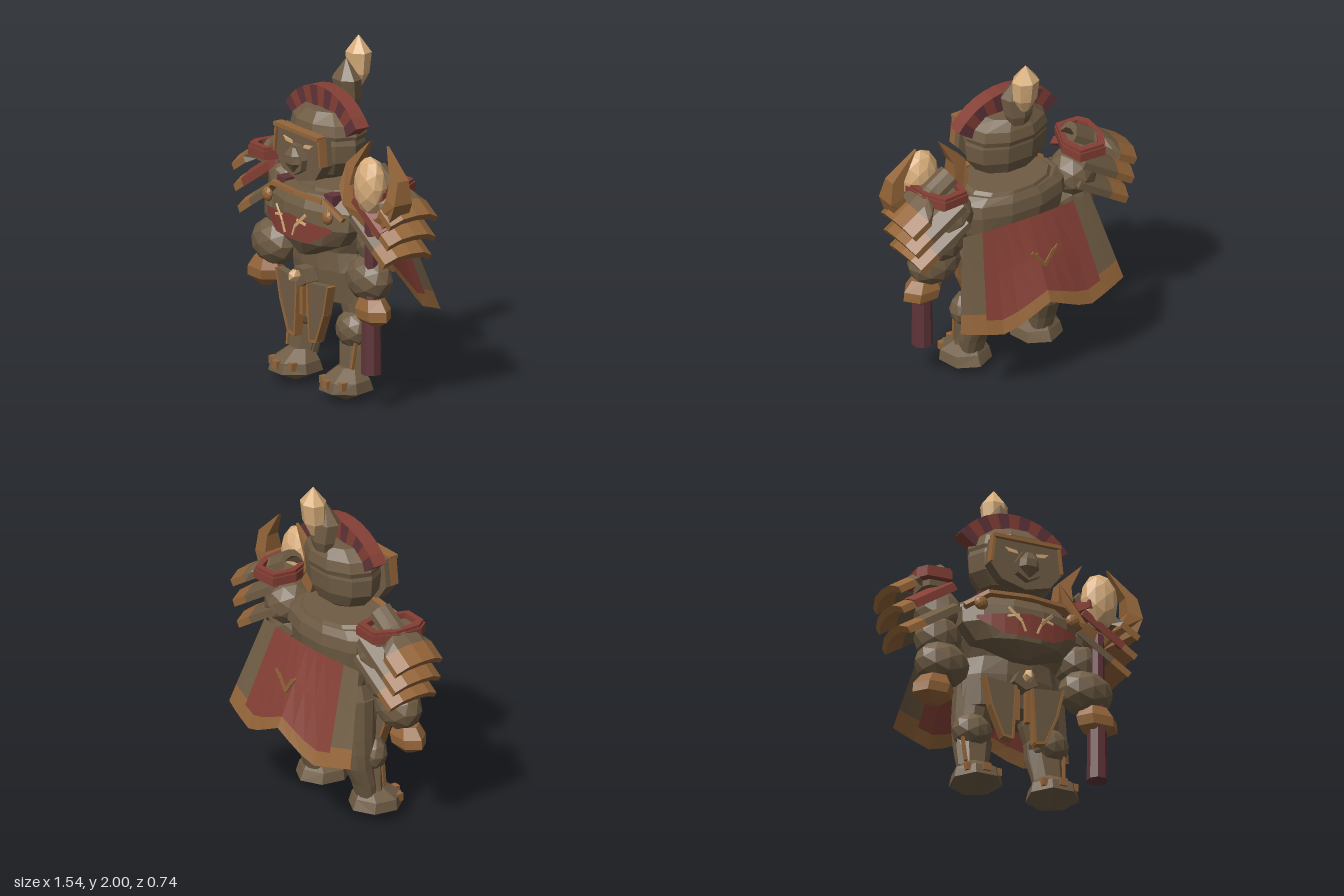
import * as THREE from 'three';

const mat = (name, color) => Object.assign(new THREE.MeshStandardMaterial({ color, flatShading: true, side: THREE.DoubleSide }), { name });

export function createModel() {
  const model = new THREE.Group();
  const brown = mat('brown', 0x6f5c44), red = mat('red', 0x843f35), maroon = mat('maroon', 0x603439);
  const bronze = mat('bronze', 0x946539), tan = mat('tan', 0xd6ac7a);

  // Adds a part; "both" also adds its mirrored twin with corrected winding
  function add(name, geo, material, both = false) {
    const g = geo.index ? geo.toNonIndexed() : geo;
    g.computeVertexNormals();
    const mesh = new THREE.Mesh(g, material);
    mesh.name = name;
    model.add(mesh);
    if (!both) return;
    const m = g.clone(), p = m.attributes.position;
    m.scale(-1, 1, 1);
    const a = new THREE.Vector3(), b = new THREE.Vector3();
    for (let i = 0; i < p.count; i += 3) {
      a.fromBufferAttribute(p, i + 1);
      b.fromBufferAttribute(p, i + 2);
      p.setXYZ(i + 1, b.x, b.y, b.z);
      p.setXYZ(i + 2, a.x, a.y, a.z);
    }
    add(name + 'Right', m, material);
  }

  const rock = (x, y, z, rx, ry, rz, detail = 1) =>
    new THREE.IcosahedronGeometry(1, detail).scale(rx, ry, rz).translate(x, y, z);
  const box = (x, y, z, w, h, d) => new THREE.BoxGeometry(w, h, d).translate(x, y, z);

  // Bar between two points
  function bar(a, b, w, d) {
    const p = new THREE.Vector3(...a), v = new THREE.Vector3(...b).sub(p);
    const g = new THREE.BoxGeometry(w, v.length(), d);
    g.applyQuaternion(new THREE.Quaternion().setFromUnitVectors(new THREE.Vector3(0, 1, 0), v.clone().normalize()));
    return g.translate(p.x + v.x / 2, p.y + v.y / 2, p.z + v.z / 2);
  }

  // Closed solid through elliptical rings [y, rx, rz, cx, cz], listed upward
  function loft(rings, n = 10) {
    const pos = [], idx = [], top = rings.length * n;
    for (const [y, rx, rz, cx, cz] of rings)
      for (let i = 0; i < n; i++) {
        const a = (i + 0.5) / n * Math.PI * 2;
        pos.push(cx + rx * Math.sin(a), y, cz + rz * Math.cos(a));
      }
    for (const r of [rings[0], rings[rings.length - 1]]) pos.push(r[3], r[0], r[4]);
    for (let i = 0; i < n; i++) {
      const j = (i + 1) % n, e = top - n;
      for (let k = 0; k < e; k += n) idx.push(k + i, k + j, k + n + j, k + i, k + n + j, k + n + i);
      idx.push(top, j, i, top + 1, e + i, e + j);
    }
    const g = new THREE.BufferGeometry();
    g.setAttribute('position', new THREE.Float32BufferAttribute(pos, 3));
    g.setIndex(idx);
    return g;
  }

  // Sheet over a patch of a surface f(u, v) -> [x, y, z]
  function sheet(f, u0, u1, v0, v1, nu, nv) {
    const g = new THREE.PlaneGeometry(1, 1, nu, nv), p = g.attributes.position;
    for (let i = 0; i < p.count; i++)
      p.setXYZ(i, ...f(u0 + (u1 - u0) * (p.getX(i) + 0.5), v0 + (v1 - v0) * (p.getY(i) + 0.5)));
    return g;
  }

  // Flat outline, with an optional hole, given thickness along z
  const points = pts => pts.map(p => new THREE.Vector2(...p));
  function slab(pts, z, depth, steps = 1, hole = null) {
    const shape = new THREE.Shape(points(pts));
    if (hole) shape.holes.push(new THREE.Path(points(hole)));
    return new THREE.ExtrudeGeometry(shape, { depth, steps, bevelEnabled: false }).translate(0, 0, z);
  }

  // Plume
  add('plumeTip', loft([[1.71, 0.025, 0.02, 0, -0.115], [1.79, 0.072, 0.06, 0, -0.115], [1.91, 0.08, 0.072, 0, -0.12], [2, 0.004, 0.004, 0, -0.12]], 7), tan);
  add('plumeBase', loft([[1.6, 0.06, 0.045, 0, -0.05], [1.66, 0.085, 0.065, 0, -0.05], [1.77, 0.1, 0.075, 0, -0.035], [1.88, 0.005, 0.005, 0, -0.035]], 7), brown);

  // Crest: an arch with alternating faces and a red rim
  const polar = (r, a) => [r * Math.sin(a), 1.345 + r * Math.cos(a)];
  const steps = 11, span = 0.95;
  for (let i = 0; i < steps; i++) {
    const a = -span + 2 * span * i / steps, b = a + 2 * span / steps;
    add('crestSegment', slab([polar(0.29, a), polar(0.29, b), polar(0.405, b), polar(0.405, a)], 0.05, 0.09), [i % 2 ? red : maroon, red]);
  }

  // Head, helmet and mask
  add('head', loft([[1.23, 0.06, 0.06, 0, 0.09], [1.28, 0.19, 0.13, 0, 0.09], [1.36, 0.25, 0.165, 0, 0.09], [1.46, 0.26, 0.175, 0, 0.09], [1.53, 0.24, 0.165, 0, 0.09]], 10), brown);
  add('helmet', loft([[1.48, 0.25, 0.175, 0, 0.085], [1.51, 0.26, 0.185, 0, 0.085], [1.57, 0.24, 0.175, 0, 0.085], [1.63, 0.16, 0.135, 0, 0.075]], 10), brown);
  add('mask', slab([[-0.2, 1.52], [-0.22, 1.36], [-0.15, 1.27], [0, 1.23], [0.15, 1.27], [0.22, 1.36], [0.2, 1.52]], 0.22, 0.07), brown);
  add('browBar', box(0, 1.52, 0.285, 0.41, 0.022, 0.06), bronze);
  add('cheekBar', bar([0.197, 1.52, 0.28], [0.215, 1.36, 0.28], 0.016, 0.05), bronze, true);
  add('snout', slab([[-0.035, 1.445], [-0.08, 1.37], [-0.07, 1.31], [0, 1.27], [0.07, 1.31], [0.08, 1.37], [0.035, 1.445]], 0.28, 0.05), brown);
  add('nose', loft([[1.29, 0.01, 0.01, 0, 0.325], [1.345, 0.065, 0.045, 0, 0.325], [1.39, 0.06, 0.045, 0, 0.325], [1.435, 0.025, 0.02, 0, 0.325]], 6), brown);
  add('eye', slab([[0.05, 1.435], [0.11, 1.44], [0.135, 1.465], [0.06, 1.455]], 0.291, 0.008), tan, true);

  // Torso and collar
  add('torso', loft([[0.55, 0.3, 0.16, 0, 0.04], [0.73, 0.31, 0.17, 0, 0.05], [0.84, 0.28, 0.17, 0, 0.05], [0.95, 0.34, 0.18, 0, 0.06], [1.09, 0.36, 0.2, 0, 0.06], [1.2, 0.25, 0.17, 0, 0.06]], 12), brown);
  add('collar', loft([[1.07, 0.38, 0.21, 0, 0.06], [1.14, 0.37, 0.2, 0, 0.06], [1.18, 0.3, 0.18, 0, 0.06]], 12), brown);
  add('collarClasp', box(0.22, 1.165, 0.2, 0.08, 0.06, 0.1), maroon, true);

  // Chest plate
  add('chestPlate', loft([[0.81, 0.06, 0.08, 0, 0.2], [0.9, 0.28, 0.16, 0, 0.17], [1, 0.36, 0.18, 0, 0.16], [1.1, 0.36, 0.18, 0, 0.15], [1.18, 0.25, 0.14, 0, 0.15]], 12), brown);
  const band = (u, v) => {
    const a = Math.abs(u), low = 0.915 + Math.max(0, a - 0.15) * 0.55, high = 1.055 - 0.12 * a;
    return [u, low + (high - low) * v, 0.352 - 0.75 * u * u];
  };
  add('chestBand', sheet(band, -0.3, 0.3, 0, 1, 8, 1), red);
  add('chestTopTrim', bar([0, 1.17, 0.315], [0.23, 1.165, 0.29], 0.022, 0.04), bronze, true);
  add('chestSideTrim', bar([0.22, 1.17, 0.285], [0.355, 1.08, 0.245], 0.025, 0.04), bronze, true);
  add('chestKnob', rock(0.28, 1.09, 0.3, 0.042, 0.042, 0.025), bronze, true);
  add('tassel', bar([0.135, 1.075, 0.345], [0.06, 1.0, 0.36], 0.018, 0.008), tan, true);
  add('tasselTie', bar([0.07, 1.035, 0.355], [0.14, 1.02, 0.345], 0.014, 0.008), tan, true);
  add('tasselTail', bar([0.06, 1.0, 0.36], [0.035, 0.94, 0.36], 0.012, 0.008), tan, true);

  // Loincloth
  const cloth = [[0.05, 0.65], [0.24, 0.67], [0.2, 0.5], [0.13, 0.33], [0.07, 0.32]];
  add('loinPanel', slab(cloth, 0.22, 0.045), brown, true);
  for (let i = 1; i < 5; i++) add('loinTrim', bar([...cloth[i], 0.245], [...cloth[(i + 1) % 5], 0.245], 0.014, 0.054), bronze, true);
  add('loinStrip', box(0.032, 0.56, 0.235, 0.028, 0.23, 0.035), bronze, true);
  add('beltBoss', slab([[-0.04, 0.73], [-0.075, 0.66], [0, 0.62], [0.075, 0.66], [0.04, 0.73]], 0.21, 0.08), brown);
  add('beltGem', rock(0, 0.69, 0.32, 0.03, 0.04, 0.045, 0), tan);

  // Legs and feet
  add('leg', loft([[0.14, 0.075, 0.055, 0.23, 0.07], [0.22, 0.085, 0.065, 0.23, 0.055], [0.33, 0.095, 0.085, 0.22, 0.025], [0.43, 0.1, 0.095, 0.22, 0.02], [0.52, 0.115, 0.105, 0.205, 0.02], [0.75, 0.13, 0.12, 0.18, 0.03]], 12), brown, true);
  add('shinGuard', loft([[0.18, 0.09, 0.06, 0.235, 0.1], [0.36, 0.11, 0.05, 0.22, 0.09]], 6), brown, true);
  add('shinTrim', bar([0.3, 0.19, 0.145], [0.31, 0.34, 0.125], 0.015, 0.02), bronze, true);
  add('knee', rock(0.235, 0.4, 0.09, 0.12, 0.11, 0.09), brown, true);
  add('foot', loft([[0.005, 0.02, 0.02, 0.235, 0.135], [0.065, 0.15, 0.16, 0.235, 0.135], [0.125, 0.14, 0.14, 0.235, 0.14], [0.19, 0.07, 0.07, 0.23, 0.11]], 7), brown, true);
  for (const x of [0.15, 0.235, 0.32]) add('toeClaw', box(x, 0.11, 0.268 - Math.abs(x - 0.235) * 0.5, 0.045, 0.045, 0.04), bronze, true);

  // Arms
  add('shoulder', rock(0.41, 1.1, 0.03, 0.14, 0.14, 0.14), brown, true);
  add('upperArm', rock(0.43, 0.94, 0.06, 0.14, 0.14, 0.12), brown, true);
  add('forearm', rock(0.44, 0.75, 0.13, 0.165, 0.135, 0.115), brown, true);
  add('hand', loft([[0.49, 0.04, 0.03, 0.5, 0.15], [0.54, 0.12, 0.085, 0.51, 0.15], [0.595, 0.125, 0.09, 0.5, 0.15], [0.655, 0.085, 0.065, 0.49, 0.15]], 6), bronze, true);

  // Pauldrons: three arched plates sloping outward; the top one narrows to pass through a ring
  const arch = [[-0.16, -0.05], [-0.09, -0.01], [0, 0], [0.09, -0.01], [0.16, -0.05], [0.16, -0.09], [0.09, -0.05], [0, -0.04], [-0.09, -0.05], [-0.16, -0.09]];
  const frontEdge = [[-0.165, -0.093], [-0.165, -0.046], [-0.09, -0.004], [-0.09, -0.055]];
  const slope = (outline, x, y, from, length) => slab(outline, from, length, 6).rotateY(Math.PI / 2).rotateZ(-0.57).translate(x, y, 0.045);
  [[0.43, 1.395, 0.28], [0.43, 1.265, 0.26], [0.4, 1.145, 0.25]].forEach(([x, y, length], k) => {
    const inner = slope(arch, x, y, 0, length), p = inner.attributes.position;
    if (k === 0)
      for (let i = 0; i < p.count; i++)
        p.setZ(i, 0.045 + (p.getZ(i) - 0.045) * THREE.MathUtils.mapLinear(THREE.MathUtils.clamp(p.getX(i), 0.54, 0.62), 0.54, 0.62, 0.42, 1));
    add('pauldronPlate', inner, brown, true);
    if (k === 1) add('pauldronRedFront', slope(frontEdge, x, y, 0, length + 0.03), red, true);
    add('pauldronEdge', slope(arch, x, y, length, 0.125), bronze, true);
  });
  const ringEdge = [[0.37, 0.11], [0.53, 0.12], [0.6, 0], [0.61, -0.16], [0.57, -0.22], [0.42, -0.225], [0.34, -0.03]];
  const inset = (kx, ky) => ringEdge.map(([x, y]) => [0.475 + (x - 0.475) * kx, -0.055 + (y + 0.055) * ky]);
  add('pauldronRing', slab(ringEdge, 1.235, 0.05, 1, inset(0.66, 0.74)).rotateX(-Math.PI / 2), red, true);
  add('pauldronRingTop', slab(inset(0.93, 0.95), 1.285, 0.018, 1, inset(0.66, 0.74)).rotateX(-Math.PI / 2), red, true);
  add('pauldronCap', slab(inset(0.66, 0.74), 1.2, 0.07).rotateX(-Math.PI / 2), brown, true);

  // Staff with horned head
  add('staff', loft([[0.22, 0.06, 0.06, 0.5, 0.16], [0.6, 0.055, 0.055, 0.5, 0.16], [0.7, 0.04, 0.04, 0.5, 0.16], [1.1, 0.04, 0.04, 0.5, 0.16]], 8), maroon);
  for (const s of [-1, 1]) {
    const pts = [[0, 1.0], [0.22, 1.15], [0.258, 1.25], [0.24, 1.38], [0.075, 1.54], [0.165, 1.37], [0.17, 1.27], [0.09, 1.14], [0, 1.11]];
    const horn = slab(pts.map(([x, y]) => [0.505 + s * x, y]), -0.07, 0.14), p = horn.attributes.position;
    for (let i = 0; i < p.count; i++) // depth narrows to the tip and to the base
      p.setZ(i, 0.14 + p.getZ(i) * (p.getY(i) > 1.2 ? Math.max(0.1, 1 - (p.getY(i) - 1.2) * 2.6) : 0.5 + (p.getY(i) - 1) * 2.5) - Math.max(0, p.getY(i) - 1.2) * 0.1);
    add('staffHorn', horn, bronze);
  }
  add('staffOrb', rock(0.505, 1.305, 0.17, 0.11, 0.17, 0.085), tan);

  // Cape: u runs across, v runs from the top edge to the hem
  const cape = (u, v) => {
    const a = Math.abs(u), hem = a < 0.5 ? 0.59 - 0.26 * a : 0.46 + 0.12 * (a - 0.5);
    return [u * (0.42 + 0.12 * v), 1.03 + (hem - 1.03) * v, -0.16 - 0.21 * v + (0.03 + 0.055 * v) * u * u];
  };
  add('capeCentre', sheet(cape, -0.72, 0.72, 0.86, 0, 8, 2), red);
  add('capeSide', sheet(cape, 0.72, 1, 0.8, 0, 2, 2), brown, true);
  add('capeSideHem', sheet(cape, 0.72, 1, 1, 0.8, 2, 1), bronze, true);
  add('capeHem', sheet(cape, -0.72, 0.72, 1, 0.86, 8, 1), bronze);
  add('capeChevron', bar([0, 0.8, -0.315], [0.06, 0.89, -0.315], 0.022, 0.008), bronze, true);
  add('capeChevronTip', bar([0.045, 0.86, -0.315], [0.085, 0.91, -0.315], 0.016, 0.008), bronze, true);

  return model;
}
